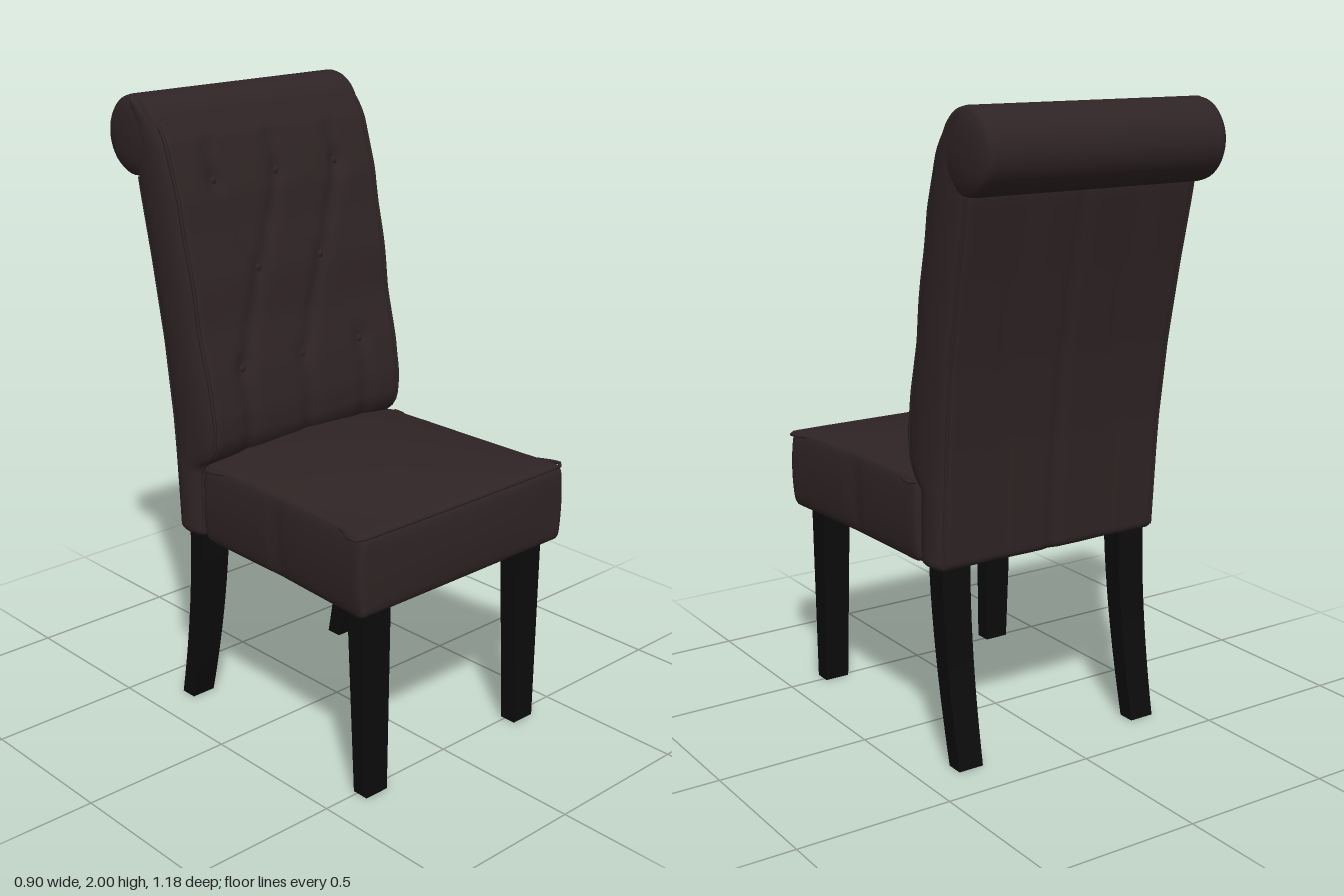
import * as THREE from 'three';
import { mergeVertices } from 'three/addons/utils/BufferGeometryUtils.js';

const leather = new THREE.MeshStandardMaterial({ color: 0x2f2425 });
leather.name = 'dark brown leather';
const blackWood = new THREE.MeshStandardMaterial({ color: 0x0c0c0c });
blackWood.name = 'black wood';
const lining = new THREE.MeshStandardMaterial({ color: 0x3c3320 });
lining.name = 'olive lining';

const { clamp, lerp } = THREE.MathUtils;
const gauss = (d, s) => Math.exp(-(d * d) / (s * s));

// Piecewise linear curve through [position, value] pairs
function sample(keys, p) {
  for (let i = 1; i < keys.length; i++) {
    const [a, va] = keys[i - 1], [b, vb] = keys[i];
    if (p <= b) return lerp(va, vb, clamp((p - a) / (b - a), 0, 1));
  }
  return keys[keys.length - 1][1];
}

// Finely divided box with round edges, then reshaped by warp(v)
function cushion(size, radius, segs, warp) {
  const g = new THREE.BoxGeometry(2, 2, 2, ...segs);
  g.deleteAttribute('uv');
  g.deleteAttribute('normal');
  const pos = g.attributes.position;
  const p = new THREE.Vector3(), q = new THREE.Vector3();
  for (let i = 0; i < pos.count; i++) {
    p.fromBufferAttribute(pos, i);
    ['x', 'y', 'z'].forEach((k, a) => {
      const h = size[a] / 2;
      p[k] = Math.sign(p[k]) * (1 - (1 - Math.abs(p[k])) ** 1.5) * h;
      q[k] = clamp(p[k], radius - h, h - radius);
    });
    p.sub(q).normalize().multiplyScalar(radius).add(q);
    warp(p);
    pos.setXYZ(i, p.x, p.y, p.z);
  }
  const out = mergeVertices(g, 1e-5);
  out.computeVertexNormals();
  return out;
}

function add(parent, name, geometry, material) {
  const m = new THREE.Mesh(geometry, material);
  m.name = name;
  parent.add(m);
  return m;
}

// Side outline of the backrest: front and back z against height
const frontZ = [[0.62, -0.19], [0.86, -0.19], [0.9, -0.14], [0.95, -0.12], [1.03, -0.12],
  [1.15, -0.14], [1.3, -0.18], [1.45, -0.2], [1.6, -0.237], [1.7, -0.255], [1.78, -0.28],
  [1.87, -0.31], [1.94, -0.36], [1.98, -0.415], [2, -0.465]];
const backZ = [[0.62, -0.31], [1, -0.335], [1.25, -0.365], [1.5, -0.41], [1.74, -0.46], [2, -0.475]];
const backHalf = y => lerp(0.397, 0.41, clamp((y - 0.9) / 0.9, 0, 1));

// Tuft buttons and the pleats that join them
const buttons = [[-0.25, 1.74], [0, 1.74], [0.25, 1.74], [-0.13, 1.46], [0.13, 1.46],
  [-0.25, 1.165], [0, 1.165], [0.25, 1.165]];
const pleats = [];
for (const s of [-1, 1]) {
  for (const y of [1.74, 1.165]) {
    pleats.push([s * 0.25, y, s * 0.13, 1.46], [0, y, s * 0.13, 1.46]);
  }
}
for (const x of [-0.25, 0, 0.25]) pleats.push([x, 1.165, x, 0.9], [x, 1.74, x, 1.85]);

function tuftDepth(x, y) {
  let line = 0, dot = 0;
  for (const [ax, ay, bx, by] of pleats) {
    const dx = bx - ax, dy = by - ay;
    const t = clamp(((x - ax) * dx + (y - ay) * dy) / (dx * dx + dy * dy), 0, 1);
    line = Math.max(line, gauss(Math.hypot(x - ax - t * dx, y - ay - t * dy), 0.03));
  }
  for (const [bx, by] of buttons) dot = Math.max(dot, gauss(Math.hypot(x - bx, y - by), 0.035));
  return 0.01 * line + 0.012 * dot;
}

// Half width of the seat against z
const seatKeys = [[-0.18, 0.4], [0.2, 0.407], [0.4, 0.42], [0.55, 0.43], [0.6, 0.43]];
const seatHalf = z => sample(seatKeys, z);
const seatCrown = (x, z) =>
  0.05 * Math.max(0, 1 - (x / 0.42) ** 2) * Math.max(0, 1 - ((z - 0.1) / 0.46) ** 2);

function makeSeat() {
  const seat = new THREE.Group();
  seat.name = 'seat';
  add(seat, 'seatCushion', cushion([2, 0.26, 0.76], 0.03, [40, 14, 44], v => {
    const up = (v.y + 0.13) / 0.26, u = v.x;
    const z = v.z + 0.2;
    const puff = 1 - (2 * up - 1) ** 2;
    const edge = Math.abs(u) ** 8;
    // Corner rounding is kept to its true size after the width is scaled
    const side = Math.sign(u) * puff * edge * (0.012 - 0.01 * gauss(z - 0.18, 0.025));
    v.x = u * seatHalf(z) + side;
    v.z = z + 0.01 * puff * Math.max(0, v.z / 0.38) ** 8 * (1 - u * u);
    v.y = 0.62 + up * 0.26 + up * seatCrown(v.x, z);
  }), leather);

  // Piping around the top edge
  const pts = [];
  for (const s of [1, -1]) {
    for (let i = 0; i <= 8; i++) {
      const z = lerp(-0.165, 0.57, s > 0 ? i / 8 : 1 - i / 8);
      pts.push(new THREE.Vector3(s * (seatHalf(z) - 0.008), 0.872, z));
    }
  }
  const path = new THREE.CatmullRomCurve3(pts, true, 'catmullrom', 0.2);
  add(seat, 'seatPiping', new THREE.TubeGeometry(path, 120, 0.006, 6, true), leather);

  // Cloth under the seat
  add(seat, 'seatLining', new THREE.BoxGeometry(0.74, 0.008, 0.68), lining).position.set(0, 0.618, 0.19);
  return seat;
}

function makeBackrest() {
  const back = new THREE.Group();
  back.name = 'backrest';
  add(back, 'tuftedBack', cushion([0.82, 1.375, 0.14], 0.025, [64, 90, 14], v => {
    const t = v.z / 0.14 + 0.5;
    const y = v.y + 1.3125;
    const u = v.x / 0.41;
    const x = u * backHalf(y);
    const zf = sample(frontZ, y) - tuftDepth(x, y);
    const seam = 0.01 * gauss(x, 0.018) + 0.005 * gauss(Math.abs(x) - 0.2, 0.05);
    const zb = sample(backZ, y) + (y < 1.85 ? seam : 0);
    v.set(x + Math.sign(u) * Math.abs(u) ** 8 * 0.022 * (1 - (2 * t - 1) ** 2), y, lerp(zb, zf, t));
  }), leather);

  // Rolled top with bulging ends
  const half = [[0.125, 0.395], [0.122, 0.41], [0.112, 0.42], [0.08, 0.43], [0.04, 0.434], [0, 0.436]];
  const profile = [...half.map(([r, h]) => [r, -h]).reverse(), ...half];
  const roll = add(back, 'topRoll',
    new THREE.LatheGeometry(profile.map(([r, h]) => new THREE.Vector2(r, h)), 40), leather);
  roll.rotation.z = Math.PI / 2;
  roll.position.set(0, 1.875, -0.465);

  // Piping along both side edges, front and rear
  for (const s of [-1, 1]) {
    for (const [name, keys, inset, top] of [['frontPiping', frontZ, -0.007, 1.98], ['rearPiping', backZ, 0.007, 1.75]]) {
      const pts = [];
      for (let i = 0; i <= 24; i++) {
        const y = lerp(0.64, top, i / 24);
        pts.push(new THREE.Vector3(s * (backHalf(y) - 0.005), y, sample(keys, y) + inset));
      }
      add(back, name, new THREE.TubeGeometry(new THREE.CatmullRomCurve3(pts), 60, 0.006, 6), leather);
    }
  }

  // Tuft buttons
  for (const [x, y] of buttons) {
    const b = add(back, 'tuftButton', new THREE.SphereGeometry(0.012, 12, 8), leather);
    b.scale.z = 0.5;
    b.position.set(x, y, sample(frontZ, y) - 0.02);
  }
  return back;
}

// Square leg; shape(k) gives [width, front z, rear z] for k from 0 (foot) to 1
function makeLeg(name, height, shape) {
  const g = new THREE.BoxGeometry(1, 1, 1, 1, 12, 1);
  const pos = g.attributes.position;
  for (let i = 0; i < pos.count; i++) {
    const k = pos.getY(i) + 0.5;
    const [w, zf, zr] = shape(k);
    pos.setXYZ(i, pos.getX(i) * w, k * height, pos.getZ(i) > 0 ? zf : zr);
  }
  g.computeVertexNormals();
  const leg = new THREE.Mesh(g, blackWood);
  leg.name = name;
  return leg;
}

export function createModel() {
  const chair = new THREE.Group();
  chair.name = 'diningChair';
  chair.add(makeSeat(), makeBackrest());
  for (const s of [-1, 1]) {
    const front = makeLeg('frontLeg', 0.64, k => [lerp(0.085, 0.1, k), 0.541, lerp(0.485, 0.46, k)]);
    const rear = makeLeg('rearLeg', 0.65, k => {
      const c = -0.245 - 0.087 * (1 - k) ** 1.7;
      const h = lerp(0.028, 0.038, k);
      return [lerp(0.085, 0.1, k), c + h, c - h];
    });
    front.position.x = rear.position.x = s * 0.332;
    chair.add(front, rear);
  }
  return chair;
}
